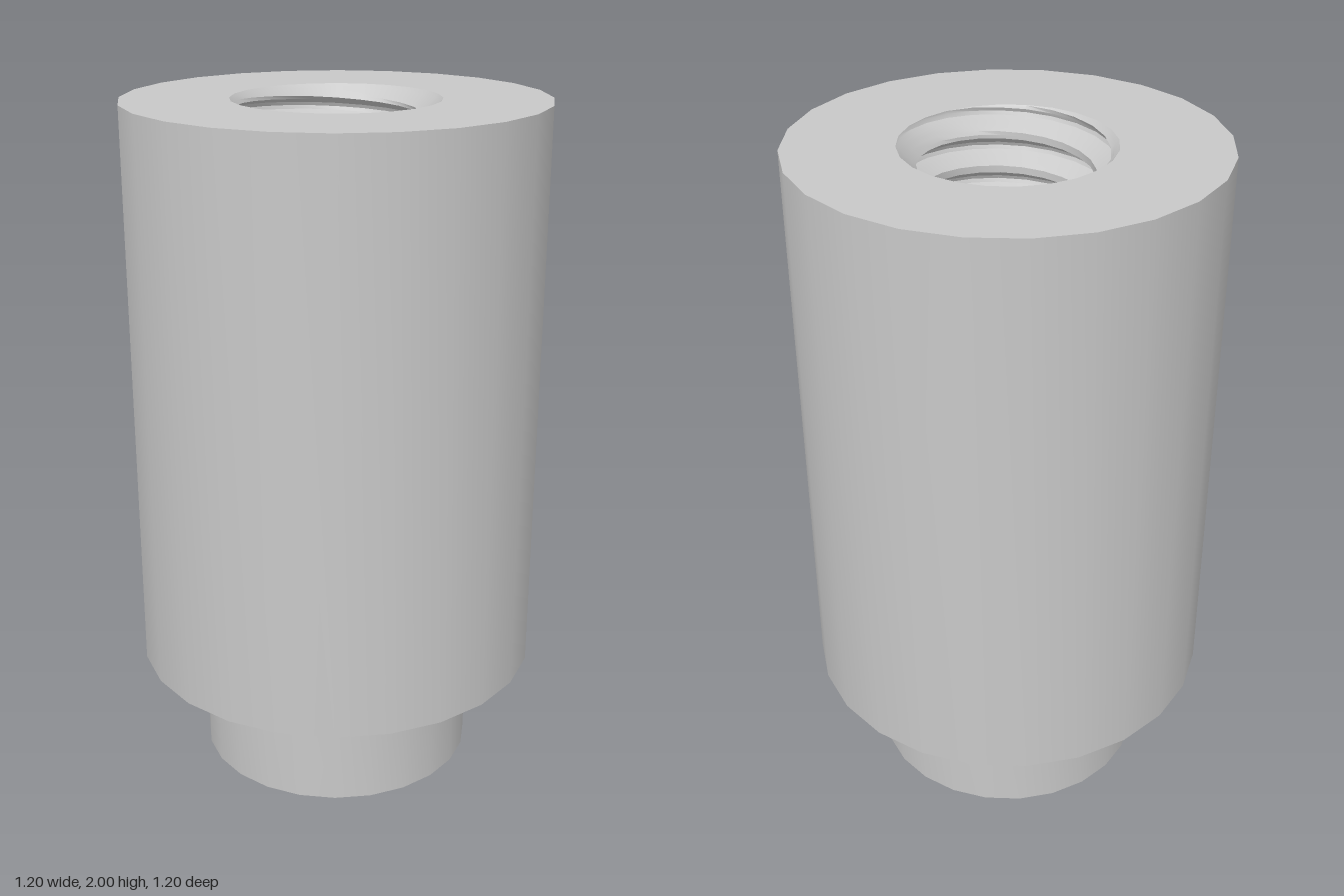
import * as THREE from 'three';
import { toCreasedNormals } from 'three/addons/utils/BufferGeometryUtils.js';

const SIDES = 24, HEIGHT = 2, STEP_Y = 0.333;
const MAJOR = 0.295, MINOR = 0.237, PITCH = 0.1, ROWS = 10;

// Bore radius at a height: V thread with flat crest and root, opened by 45 degree end chamfers
function boreRadius(y, phase) {
  const t = phase - Math.floor(phase);
  const wave = Math.abs(2 * t - 1);
  const thread = MINOR + (MAJOR - MINOR) * THREE.MathUtils.clamp((wave - 0.2) / 0.65, 0, 1);
  return Math.max(thread, MAJOR - Math.min(y, HEIGHT - y));
}

// Right-handed helical surface facing the axis, trimmed flat at both ends
function threadGeometry() {
  const pos = [];
  const point = (i, k) => {
    const a = (i / SIDES) * Math.PI * 2;
    const y = THREE.MathUtils.clamp(PITCH * (k / ROWS + i / SIDES - 1), 0, HEIGHT);
    const r = boreRadius(y, y / PITCH - i / SIDES);
    return new THREE.Vector3(r * Math.cos(a), y, -r * Math.sin(a));
  };
  const tri = new THREE.Triangle();
  const add = (a, b, c) => {
    if (tri.set(a, b, c).getArea() > 1e-8) for (const p of [a, b, c]) pos.push(p.x, p.y, p.z);
  };
  const rows = (HEIGHT / PITCH + 1) * ROWS;
  for (let k = 0; k < rows; k++) {
    for (let i = 0; i < SIDES; i++) {
      const a = point(i, k), b = point(i + 1, k), c = point(i + 1, k + 1), d = point(i, k + 1);
      add(a, c, b);
      add(a, d, c);
    }
  }
  const g = new THREE.BufferGeometry();
  g.setAttribute('position', new THREE.Float32BufferAttribute(pos, 3));
  return toCreasedNormals(g, 0.5);
}

export function createModel() {
  const group = new THREE.Group();
  group.name = 'threadedStandoff';
  const steel = new THREE.MeshStandardMaterial({ color: 0xc8c8c8 });
  steel.name = 'grey steel';

  // Stepped outer shell with ring-shaped end faces
  const profile = [
    [MAJOR, 0], [0.41, 0], [0.41, STEP_Y], [0.6, STEP_Y], [0.6, HEIGHT], [MAJOR, HEIGHT],
  ].map(([r, y]) => new THREE.Vector2(r, y));
  const body = new THREE.Mesh(toCreasedNormals(new THREE.LatheGeometry(profile, SIDES), 0.6), steel);
  body.name = 'steppedBody';

  // Threaded through hole
  const bore = new THREE.Mesh(threadGeometry(), steel);
  bore.name = 'threadedBore';

  group.add(body, bore);
  return group;
}
